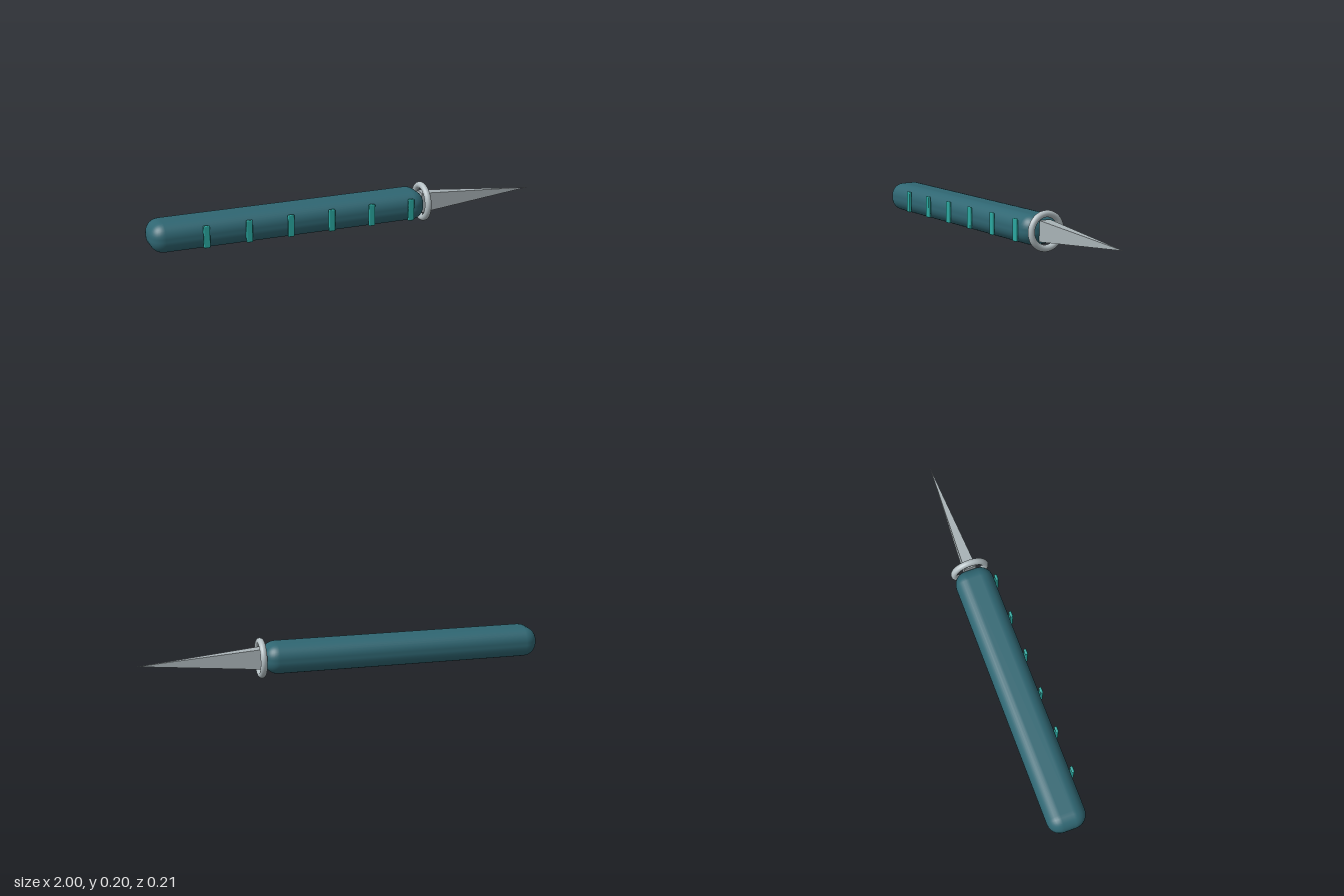
import * as THREE from 'three';
import { RoundedBoxGeometry } from 'three/addons/geometries/RoundedBoxGeometry.js';

const AXIS_Y = 0.0985; // height of the long axis
const AXIS_Z = -0.006;

function material(name, color) {
  const m = new THREE.MeshStandardMaterial({ color });
  m.name = name;
  return m;
}

export function createModel() {
  const group = new THREE.Group();
  group.name = 'dagger';

  const teal = material('darkTeal', 0x2f6672);
  const bright = material('brightTeal', 0x2aa8a0);
  const silver = material('silver', 0xb5c0c4);
  const steel = material('steel', 0xa9b3b7);
  steel.flatShading = true;

  const add = (name, geometry, mat, x, y = AXIS_Y, z = AXIS_Z) => {
    const mesh = new THREE.Mesh(geometry, mat);
    mesh.name = name;
    mesh.position.set(x, y, z);
    group.add(mesh);
    return mesh;
  };

  // Soft-edged grip
  add('handle', new RoundedBoxGeometry(1.392, 0.147, 0.192, 4, 0.066), teal, -0.304);

  // Grip bars along the front of the handle
  const bar = new RoundedBoxGeometry(0.032, 0.11, 0.014, 2, 0.005);
  for (let i = 0; i < 6; i++) {
    add(`gripBar${i + 1}`, bar, bright, -0.743 + i * 0.2083, AXIS_Y, 0.098);
  }

  // Ring guard around the end of the handle
  const ring = new THREE.TorusGeometry(0.082, 0.0165, 16, 48);
  ring.rotateY(Math.PI / 2);
  add('guardRing', ring, silver, 0.402);

  // Four-sided blade: a pyramid on a rectangular base, pointing along +x
  const blade = new THREE.ConeGeometry(Math.SQRT2, 1, 4, 1, false, Math.PI / 4);
  blade.rotateZ(-Math.PI / 2);
  blade.scale(0.61, 0.051, 0.03);
  add('blade', blade, steel, 0.695);

  return group;
}
